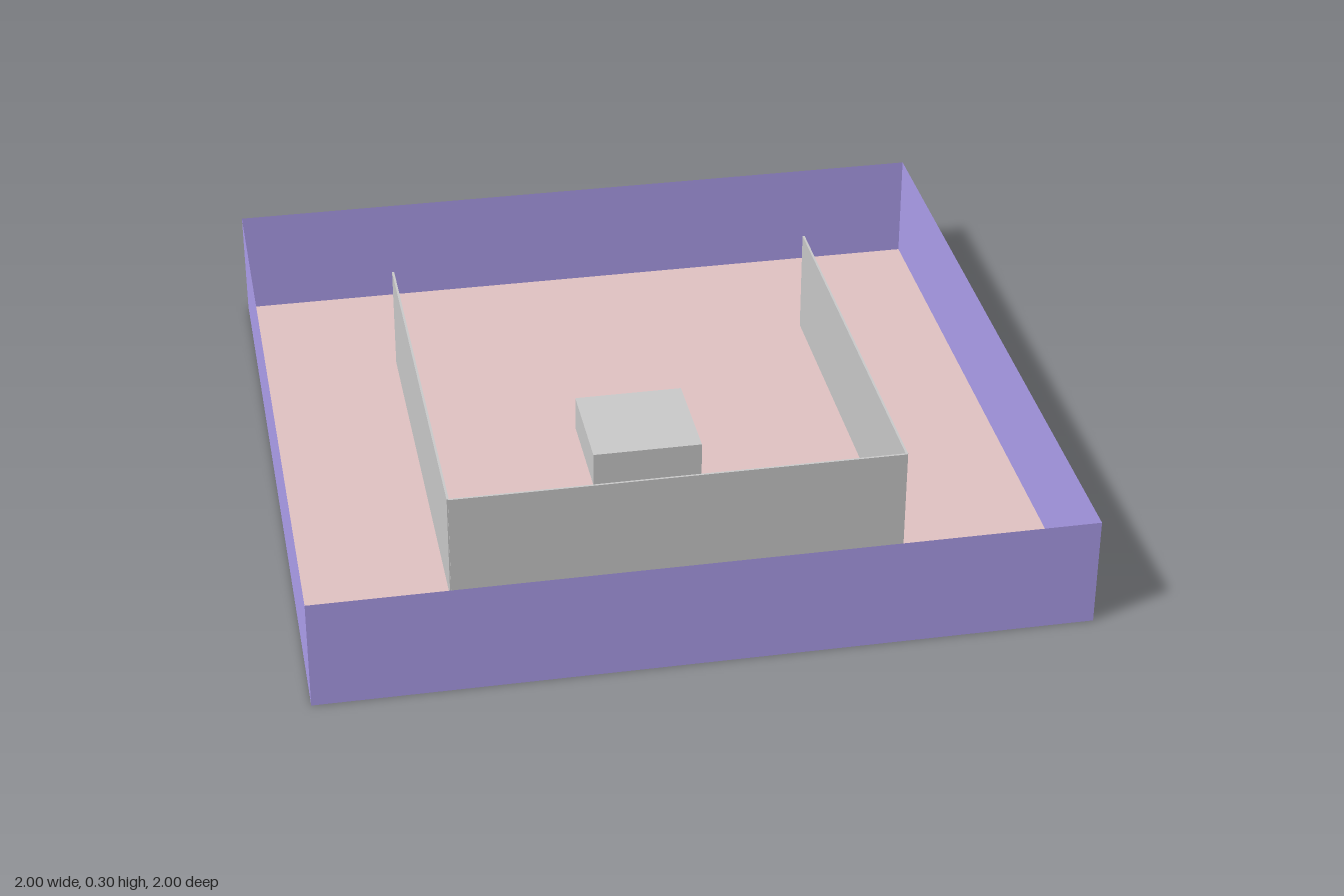
import * as THREE from 'three';

const HEIGHT = 0.3;

export function createModel() {
  const group = new THREE.Group();
  const grey = new THREE.MeshStandardMaterial({ color: 0xcccccc });
  const pink = new THREE.MeshStandardMaterial({ color: 0xe2c4c4, side: THREE.DoubleSide });
  const purple = new THREE.MeshStandardMaterial({ color: 0xae9fee, side: THREE.DoubleSide });

  const add = (name, geometry, material, x, y, z) => {
    const mesh = new THREE.Mesh(geometry, material);
    mesh.name = name;
    mesh.position.set(x, y, z);
    group.add(mesh);
    return mesh;
  };

  // Square floor sheet
  add('floor', new THREE.PlaneGeometry(2, 2).rotateX(-Math.PI / 2), pink, 0, 0, 0);

  // Four thin outer walls around the floor
  ['frontOuterWall', 'leftOuterWall', 'backOuterWall', 'rightOuterWall'].forEach((name, i) => {
    const angle = (i * Math.PI) / 2;
    const wall = add(name, new THREE.PlaneGeometry(2, HEIGHT), purple,
      Math.sin(angle), HEIGHT / 2, Math.cos(angle));
    wall.rotation.y = angle;
  });

  // Inner U of thin walls, open at the back
  const thick = 0.006;
  add('frontInnerWall', new THREE.BoxGeometry(1.2, HEIGHT, thick), grey, 0, HEIGHT / 2, 0.6);
  for (const side of [1, -1]) {
    add(side > 0 ? 'leftInnerWall' : 'rightInnerWall',
      new THREE.BoxGeometry(thick, HEIGHT, 1.2), grey, side * 0.6, HEIGHT / 2, 0);
  }

  // Low block in the middle
  add('centreBlock', new THREE.BoxGeometry(0.3, 0.1, 0.3), grey, 0, 0.05, 0);

  return group;
}
